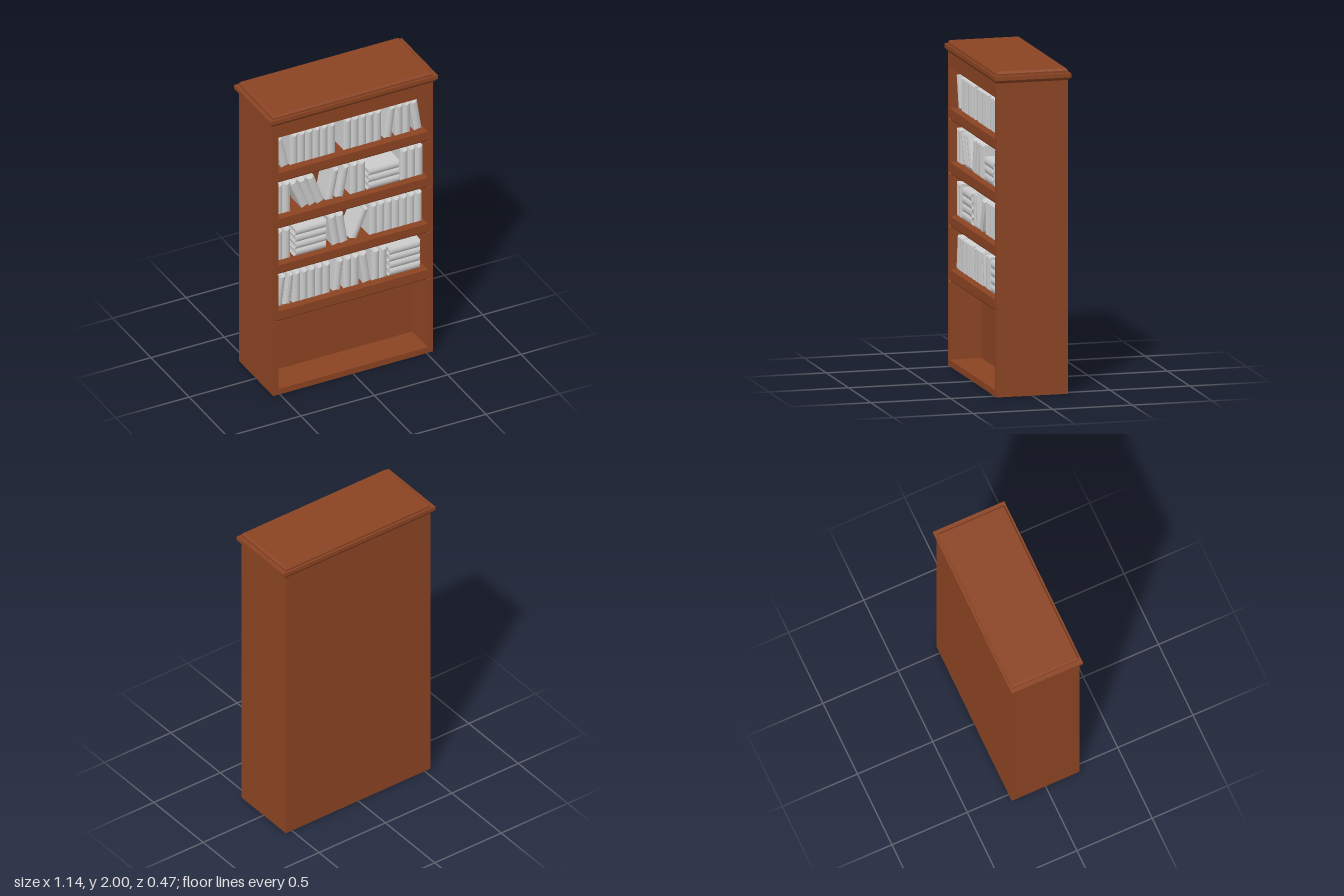
import * as THREE from 'three';

const wood = new THREE.MeshStandardMaterial({ color: 0x8b4423, flatShading: true });
const paper = new THREE.MeshStandardMaterial({ color: 0xcccccc, flatShading: true });

const HALF_W = 0.545, HALF_D = 0.225, CASE_H = 1.93;
const OPEN_W = 0.508, INNER_BACK = 0.025, LIP = 0.015;
const BOOK_H = 0.21, BOOK_T = 0.05, BOOK_D = 0.13, BOOK_Z = 0.11;

// Openings as [floor, ceiling]; all but the highest have a bevelled lip
const openings = [[0.04, 0.52], [0.595, 0.855], [0.925, 1.18], [1.255, 1.51], [1.585, 1.84]];

// Books per shelf: upright runs [left x, count], leaning [centre x, tilt to the right],
// flat piles [centre x, count]
const shelves = [
  { floor: 0.595,
    runs: [[-0.388, 5], [-0.04, 2], [0.151, 2]],
    leaning: [[-0.475, 0.13], [-0.417, 0.12], [-0.08, 0.1], [0.103, -0.13]],
    piles: [[0.373, 4]] },
  { floor: 0.925,
    runs: [[-0.508, 2], [0.135, 7]],
    leaning: [[-0.107, -0.15], [-0.053, -0.15], [0.063, 0.4]],
    piles: [[-0.267, 4]] },
  { floor: 1.255,
    runs: [[-0.508, 2], [0.003, 2], [0.345, 3]],
    leaning: [[-0.344, -0.4], [-0.288, -0.37], [-0.233, -0.34], [-0.119, 0.19], [-0.05, 0.19]],
    piles: [[0.23, 3]] },
  { floor: 1.585,
    runs: [[-0.405, 6], [-0.04, 5], [0.311, 2]],
    leaning: [[-0.463, -0.22], [0.272, 0.12], [0.45, -0.15]],
    piles: [] },
];

function addMesh(parent, name, geometry, material, x = 0, y = 0, z = 0) {
  const mesh = new THREE.Mesh(geometry, material);
  mesh.name = name;
  mesh.position.set(x, y, z);
  parent.add(mesh);
  return mesh;
}

// Rectangular block whose top may differ in size from its base
function taperedBox(w0, d0, w1, d1, y0, y1) {
  const g = new THREE.BoxGeometry(w0, y1 - y0, d0);
  const p = g.attributes.position;
  for (let i = 0; i < p.count; i++) {
    if (p.getY(i) > 0) {
      p.setX(i, Math.sign(p.getX(i)) * w1 / 2);
      p.setZ(i, Math.sign(p.getZ(i)) * d1 / 2);
    }
  }
  g.translate(0, (y0 + y1) / 2, 0);
  g.computeVertexNormals();
  return g;
}

// One layer of the front frame, pierced by the five openings
function frameLayer(depth, withLip) {
  const s = new THREE.Shape();
  s.moveTo(-HALF_W, 0).lineTo(HALF_W, 0).lineTo(HALF_W, CASE_H).lineTo(-HALF_W, CASE_H).closePath();
  openings.forEach(([lo, hi], i) => {
    const lip = withLip && i < openings.length - 1;
    const hole = new THREE.Path();
    hole.moveTo(-OPEN_W, lo);
    hole.lineTo(-OPEN_W, hi);
    if (lip) {
      hole.lineTo(-0.516, hi);
      hole.lineTo(-0.525, hi + LIP);
      hole.lineTo(0.525, hi + LIP);
      hole.lineTo(0.516, hi);
    }
    hole.lineTo(OPEN_W, hi);
    hole.lineTo(OPEN_W, lo);
    hole.closePath();
    s.holes.push(hole);
  });
  return new THREE.ExtrudeGeometry(s, { depth, bevelEnabled: false });
}

// Sloped underside at the front edge of a shelf
function shelfLip(y) {
  const s = new THREE.Shape();
  s.moveTo(HALF_D - LIP, y).lineTo(HALF_D, y + LIP).lineTo(HALF_D - LIP, y + LIP).closePath();
  const g = new THREE.ExtrudeGeometry(s, { depth: 1.05, bevelEnabled: false });
  return g.rotateY(-Math.PI / 2).translate(0.525, 0, 0);
}

// Book with a rounded spine and hollowed top and bottom edges
function bookGeometry() {
  const g = new THREE.BoxGeometry(BOOK_T, BOOK_H, BOOK_D, 6, 1, 1);
  const p = g.attributes.position;
  for (let i = 0; i < p.count; i++) {
    const u = p.getX(i) / (BOOK_T / 2), curve = 1 - u * u;
    p.setY(i, p.getY(i) - Math.sign(p.getY(i)) * 0.009 * curve);
    if (p.getZ(i) > 0) p.setZ(i, p.getZ(i) + 0.01 * curve);
  }
  g.computeVertexNormals();
  return g;
}

export function createModel() {
  const model = new THREE.Group();
  model.name = 'bookcase';

  // Case: solid back and pierced front
  const carcass = new THREE.Group();
  carcass.name = 'case';
  model.add(carcass);
  const backDepth = INNER_BACK + HALF_D;
  addMesh(carcass, 'back', new THREE.BoxGeometry(2 * HALF_W, CASE_H, backDepth), wood,
    0, CASE_H / 2, -HALF_D + backDepth / 2);
  addMesh(carcass, 'shelfFrame', frameLayer(HALF_D - LIP - INNER_BACK, false), wood, 0, 0, INNER_BACK);
  addMesh(carcass, 'frontFrame', frameLayer(LIP, true), wood, 0, 0, HALF_D - LIP);
  for (const [, hi] of openings.slice(0, -1)) addMesh(carcass, 'shelfLip', shelfLip(hi), wood);

  // Cornice: flare, slab and bevelled cap
  const cornice = new THREE.Group();
  cornice.name = 'cornice';
  model.add(cornice);
  addMesh(cornice, 'flare', taperedBox(1.09, 0.45, 1.144, 0.474, 1.93, 1.95), wood);
  addMesh(cornice, 'slab', taperedBox(1.144, 0.474, 1.144, 0.474, 1.95, 1.975), wood);
  addMesh(cornice, 'capBase', taperedBox(1.09, 0.45, 1.09, 0.45, 1.975, 1.988), wood);
  addMesh(cornice, 'cap', taperedBox(1.09, 0.45, 1.066, 0.43, 1.988, 2), wood);

  // Books
  const geo = bookGeometry();
  for (const { floor, runs, leaning, piles } of shelves) {
    const row = new THREE.Group();
    row.name = 'bookRow';
    model.add(row);
    for (const [x, count] of runs) {
      for (let i = 0; i < count; i++) {
        addMesh(row, 'uprightBook', geo, paper, x + (i + 0.5) * 0.0512, floor + BOOK_H / 2, BOOK_Z);
      }
    }
    for (const [x, tilt] of leaning) {
      const y = (BOOK_H * Math.cos(tilt) + BOOK_T * Math.sin(Math.abs(tilt))) / 2;
      addMesh(row, 'leaningBook', geo, paper, x, floor + y, BOOK_Z).rotation.z = -tilt;
    }
    for (const [x, count] of piles) {
      for (let i = 0; i < count; i++) {
        const book = addMesh(row, 'flatBook', geo, paper, x, floor + (i + 0.5) * 0.049, BOOK_Z);
        book.rotation.z = Math.PI / 2;
        book.scale.y = 1.05;
      }
    }
  }
  return model;
}
